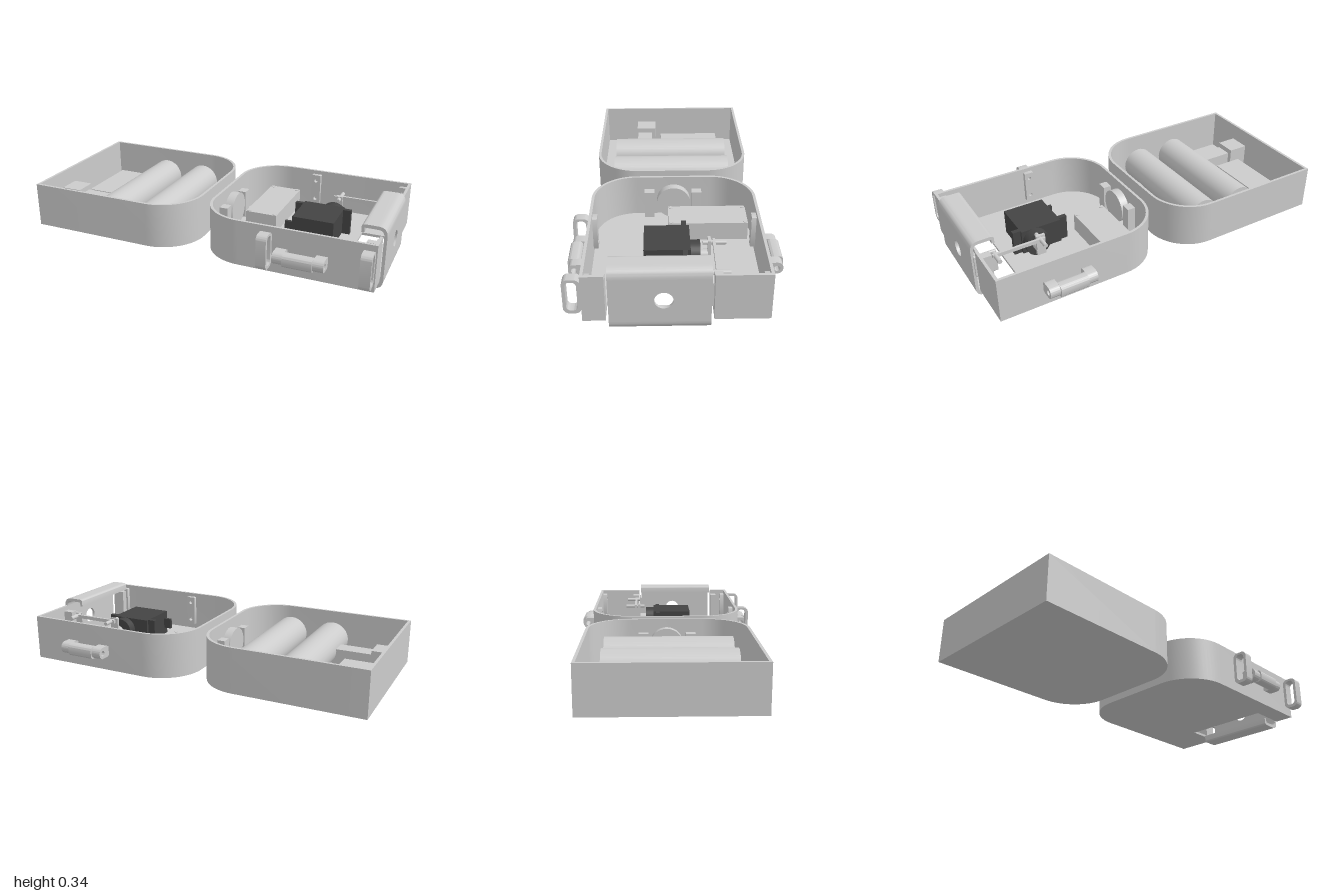
import * as THREE from 'three';
import { toCreasedNormals } from 'three/addons/utils/BufferGeometryUtils.js';

const grey = new THREE.MeshStandardMaterial({ color: 0xcccccc, side: THREE.DoubleSide });
const dark = new THREE.MeshStandardMaterial({ color: 0x444444, side: THREE.DoubleSide });
const T = 0.015, FLOOR = 0.06;

export function createModel() {
  const root = new THREE.Group();

  const add = (name, geo, mat = grey) => {
    const m = new THREE.Mesh(geo, mat);
    m.name = name;
    root.add(m);
    return m;
  };
  // box given by its limits on each axis
  const box = (name, x0, x1, y0, y1, z0, z1, mat) => {
    const m = add(name, new THREE.BoxGeometry(x1 - x0, y1 - y0, z1 - z0), mat);
    m.position.set((x0 + x1) / 2, (y0 + y1) / 2, (z0 + z1) / 2);
    return m;
  };
  const rod = (name, r, len, axis, x, y, z, mat) => {
    const g = new THREE.CylinderGeometry(r, r, len, 32);
    if (axis === 'x') g.rotateZ(Math.PI / 2);
    if (axis === 'z') g.rotateX(Math.PI / 2);
    add(name, g, mat).position.set(x, y, z);
  };
  const extrude = (shape, depth) =>
    toCreasedNormals(new THREE.ExtrudeGeometry(shape, { depth, bevelEnabled: false, curveSegments: 12 }), 0.6);
  // profile in (z, y), pushed along x
  const alongX = (name, shape, x0, x1) => {
    const g = extrude(shape, x1 - x0);
    g.rotateY(-Math.PI / 2);
    add(name, g.translate(x1, 0, 0));
  };
  // plan in (x, z), pushed along y
  const alongY = (name, pts, y0, y1) => {
    const g = extrude(new THREE.Shape(pts), y1 - y0);
    g.rotateX(Math.PI / 2);
    add(name, g.translate(0, y1, 0));
  };
  const roundRect = (x0, x1, y0, y1, r, S = THREE.Shape) => {
    const s = new S();
    s.absarc(x1 - r, y0 + r, r, -Math.PI / 2, 0);
    s.absarc(x1 - r, y1 - r, r, 0, Math.PI / 2);
    s.absarc(x0 + r, y1 - r, r, Math.PI / 2, Math.PI);
    s.absarc(x0 + r, y0 + r, r, Math.PI, Math.PI * 1.5);
    s.closePath();
    return s;
  };
  const circle = (x, y, r) => new THREE.Path().absarc(x, y, r, 0, Math.PI * 2, true);

  // Tray: straight outer end, two big rounded corners at the hinge end, optional cut-out a..b
  function tray(name, flat, hinge, a, b, notch) {
    const d = Math.sign(flat - hinge), W = 0.445, R = 0.24;
    const outline = (i) => {
      const pts = [new THREE.Vector2(flat - d * i, -W + i)];
      const c = hinge + d * R, r = R - i;
      for (const side of [-1, 1]) {
        for (let k = 0; k <= 16; k++) {
          const t = (side < 0 ? k : 16 - k) / 16 * Math.PI / 2;
          pts.push(new THREE.Vector2(c - d * r * Math.sin(t), side * (W - R + r * Math.cos(t))));
        }
      }
      pts.push(new THREE.Vector2(flat - d * i, W - i));
      return pts;
    };
    const V = (x, z) => new THREE.Vector2(x, z);
    const outer = outline(0);
    alongY(name + 'Wall', [V(flat, a), ...outer, V(flat, b), V(flat - d * T, b),
      ...outline(T).reverse(), V(flat - d * T, a)], 0.045, 0.297);
    const cut = notch ? [V(flat, b), V(notch, b), V(notch, a), V(flat, a)] : [];
    alongY(name + 'Floor', [...outer, ...cut], 0.045, FLOOR);
  }
  tray('rightTray', -1, -0.045, 0, 0);
  tray('leftTray', 0.982, 0.02, -0.175, 0.335, 0.775);

  // Hinge discs with a block on each side
  for (const x of [-0.08, 0.057]) {
    rod('hingeDisc', 0.095, 0.05, 'x', x, 0.155, -0.003);
    for (const s of [-1, 1]) box('hingeBlock', x - 0.025, x + 0.025, FLOOR, 0.22, s * 0.135 - 0.028, s * 0.135 + 0.028);
  }

  // Battery cells, circuit box and charging port
  for (const x of [-0.567, -0.31]) rod('batteryCell', 0.096, 0.697, 'z', x, FLOOR + 0.096, 0.003);
  box('circuitBox', -0.9, -0.73, FLOOR, 0.145, -0.315, 0.065);
  box('port', -0.99, -0.866, FLOOR, 0.2, 0.1, 0.225);
  box('portPlug', -0.866, -0.64, FLOOR, 0.17, 0.125, 0.22);

  // Control box with corner screws
  box('controlBox', 0.14, 0.325, FLOOR, 0.165, -0.405, 0.03);
  for (const x of [0.155, 0.31]) for (const z of [-0.39, 0.015]) rod('screw', 0.012, 0.004, 'y', x, 0.166, z);

  // Servo motor
  box('servoBody', 0.46, 0.69, 0.1, 0.24, -0.075, 0.16, dark);
  box('servoEar', 0.415, 0.733, 0.1, 0.24, -0.06, -0.035, dark);
  box('servoCable', 0.415, 0.46, 0.14, 0.2, 0.125, 0.143, dark);
  rod('servoGearbox', 0.07, 0.05, 'z', 0.617, 0.17, -0.1, dark);
  rod('servoShaft', 0.026, 0.05, 'z', 0.625, 0.17, -0.15);

  // Horn, push rod and pins moving the flap
  box('servoHorn', 0.6, 0.65, 0.14, 0.26, -0.178, -0.163);
  rod('hornPin', 0.011, 0.12, 'z', 0.632, 0.245, -0.195);
  rod('flapPin', 0.012, 0.1, 'z', 0.885, 0.245, -0.205);
  box('pushRod', 0.61, 0.9, 0.235, 0.255, -0.2, -0.186);
  alongX('flapLug', roundRect(-0.17, -0.155, 0.13, 0.26, 0.005), 0.87, 0.99);

  // Sliding flap: a plate with a hole and a hooked flange above and below
  const plate = new THREE.Shape([[-0.16, 0.05], [0.32, 0.05], [0.32, 0.29], [-0.16, 0.29]]
    .map((p) => new THREE.Vector2(...p)));
  plate.holes.push(circle(0.062, 0.172, 0.045));
  alongX('flapPlate', plate, 0.984, 1);
  for (const s of [1, -1]) {
    const y = (v) => 0.17 + s * (v - 0.17);
    const h = new THREE.Shape();
    h.moveTo(1, y(0.29));
    h.quadraticCurveTo(1, y(0.34), 0.95, y(0.34));
    h.lineTo(0.89, y(0.34));
    h.quadraticCurveTo(0.87, y(0.34), 0.87, y(0.325));
    h.lineTo(0.87, y(0.297));
    h.lineTo(0.885, y(0.297));
    h.lineTo(0.885, y(0.322));
    h.lineTo(0.95, y(0.322));
    h.quadraticCurveTo(0.984, y(0.322), 0.984, y(0.29));
    h.closePath();
    add('flapFlange', extrude(h, 0.48)).position.z = -0.16;
  }
  // Guide blocks beside the cut-out
  box('flapGuide', 0.91, 0.967, FLOOR, 0.27, -0.215, -0.175);
  box('flapGuide', 0.91, 0.967, FLOOR, 0.27, 0.335, 0.372);

  // Strap loops on the front, screwed plates inside both long walls
  for (const x of [0.395, 0.92]) {
    const loop = roundRect(0.444, 0.531, 0.085, 0.275, 0.03);
    loop.holes.push(roundRect(0.462, 0.515, 0.102, 0.262, 0.022, THREE.Path));
    alongX('strapLoop', loop, x, x + 0.055);
    const inner = roundRect(x, x + 0.055, 0.09, 0.275, 0.004);
    for (const y of [0.125, 0.24]) inner.holes.push(circle(x + 0.0275, y, 0.011));
    for (const z of [-0.43, 0.405]) add('loopPlate', extrude(inner, 0.025)).position.z = z;
  }

  // Carry bars: two drilled lugs and a drilled bar on each long side
  for (const s of [-1, 1]) {
    const lug = s > 0 ? roundRect(0.435, 0.53, 0.13, 0.195, 0.03) : roundRect(-0.53, -0.435, 0.13, 0.195, 0.03);
    const bar = s > 0 ? roundRect(0.472, 0.537, 0.127, 0.195, 0.022) : roundRect(-0.537, -0.472, 0.127, 0.195, 0.022);
    for (const p of [lug, bar]) p.holes.push(circle(s * 0.5, 0.161, 0.015));
    alongX('barLug', lug, 0.48, 0.535);
    alongX('barLug', lug, 0.69, 0.745);
    alongX('carryBar', bar, 0.535, 0.69);
  }
  return root;
}
